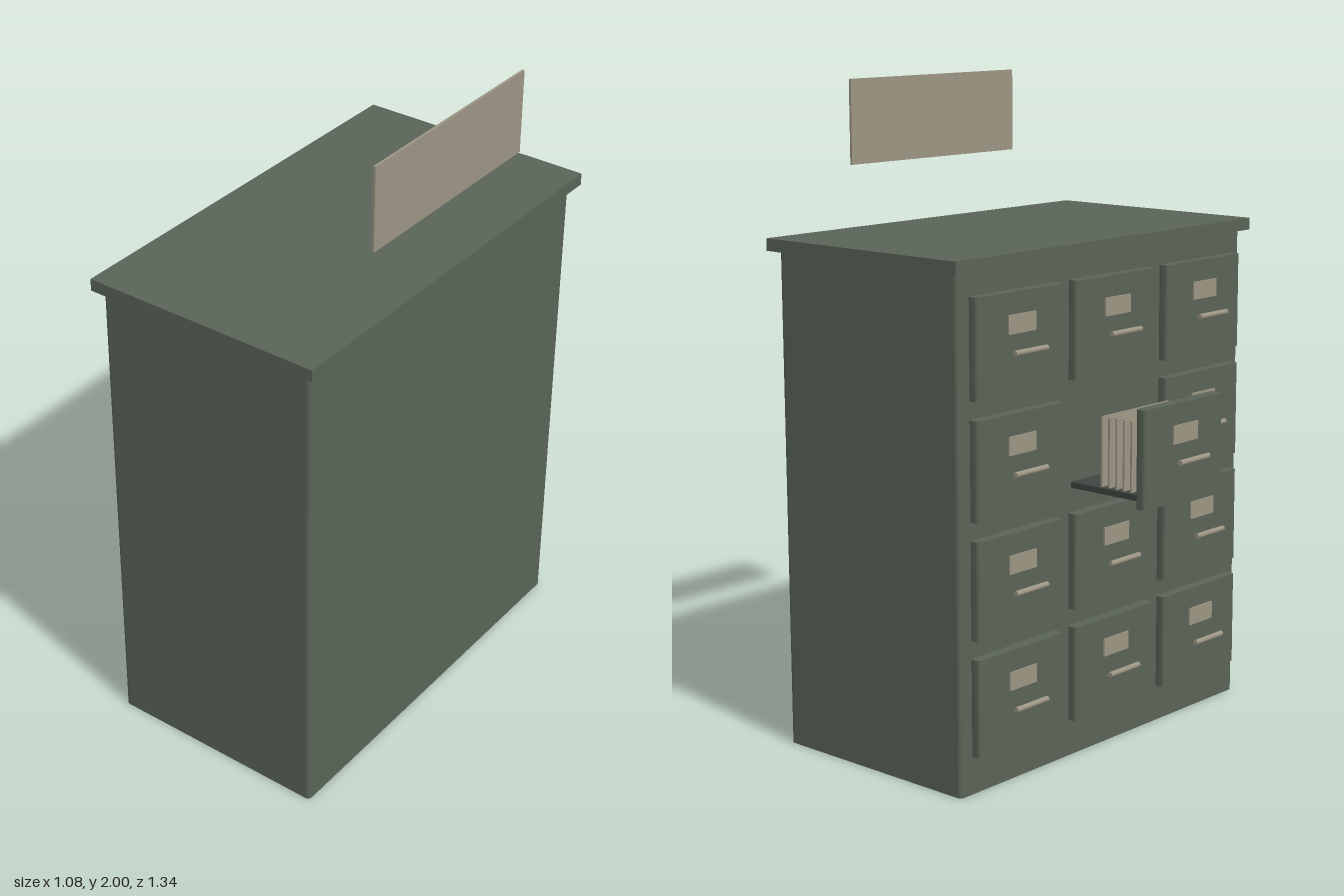
import * as THREE from 'three';

export function createModel() {
  const model = new THREE.Group();
  model.name = 'fileCabinet';
  const mat = (name, color) => {
    const m = new THREE.MeshStandardMaterial({ color });
    m.name = name;
    return m;
  };
  const green = mat('cabinet green', 0x5a6457);
  const dark = mat('tray dark green', 0x3d4641);
  const tan = mat('card tan', 0x9c9584);

  const add = (parent, name, geometry, material, x, y, z) => {
    const mesh = new THREE.Mesh(geometry, material);
    mesh.name = name;
    mesh.position.set(x, y, z);
    parent.add(mesh);
    return mesh;
  };

  // Box with rounded vertical edges, centred on its origin
  const roundedColumn = (w, h, d, r) => {
    const s = new THREE.Shape();
    const a = w / 2, b = d / 2;
    s.absarc(a - r, b - r, r, 0, Math.PI / 2);
    s.absarc(-a + r, b - r, r, Math.PI / 2, Math.PI);
    s.absarc(-a + r, -b + r, r, Math.PI, Math.PI * 1.5);
    s.absarc(a - r, -b + r, r, Math.PI * 1.5, Math.PI * 2);
    const g = new THREE.ExtrudeGeometry(s, { depth: h, bevelEnabled: false, curveSegments: 3 });
    return g.translate(0, 0, -h / 2).rotateX(-Math.PI / 2);
  };

  // Carcass and overhanging top
  add(model, 'cabinetBody', roundedColumn(0.715, 1.515, 1.29, 0.014), green, 0.153, 0.7575, 0);
  add(model, 'cabinetTop', new THREE.BoxGeometry(0.762, 0.037, 1.34), green, 0.155, 1.5325, 0);

  // Drawer grid, opening towards -x, with one drawer pulled out
  const frontGeo = roundedColumn(0.037, 0.292, 0.365, 0.012);
  const labelGeo = new THREE.BoxGeometry(0.006, 0.055, 0.115);
  const handleGeo = new THREE.CylinderGeometry(0.0085, 0.0085, 0.135, 12).rotateX(Math.PI / 2);
  for (let row = 0; row < 4; row++) {
    for (let col = -1; col <= 1; col++) {
      const open = row === 2 && col === 0;
      const drawer = new THREE.Group();
      drawer.name = open ? 'openDrawer' : 'drawer';
      drawer.position.set(open ? -0.478 : -0.222, 0.262 + row * 0.346, col * 0.42);
      model.add(drawer);
      add(drawer, 'drawerFront', frontGeo, green, 0, 0, 0);
      add(drawer, 'drawerLabel', labelGeo, tan, -0.02, 0.055, 0);
      add(drawer, 'drawerHandle', handleGeo, tan, -0.054, -0.02, 0);
      if (open) {
        // Tray floor and the upright file cards
        add(drawer, 'drawerTray', new THREE.BoxGeometry(0.275, 0.018, 0.33), dark, 0.1375, -0.118, 0);
        const cardGeo = new THREE.BoxGeometry(0.006, 0.225, 0.31);
        for (let i = 0; i < 6; i++) {
          add(drawer, 'fileCard', cardGeo, tan, 0.028 + i * 0.0275, -0.012, 0);
        }
      }
    }
  }

  // Sign panel standing free above the back
  add(model, 'signPanel', new THREE.BoxGeometry(0.008, 0.255, 0.715), tan, 0.5, 1.8725, 0);

  return model;
}
